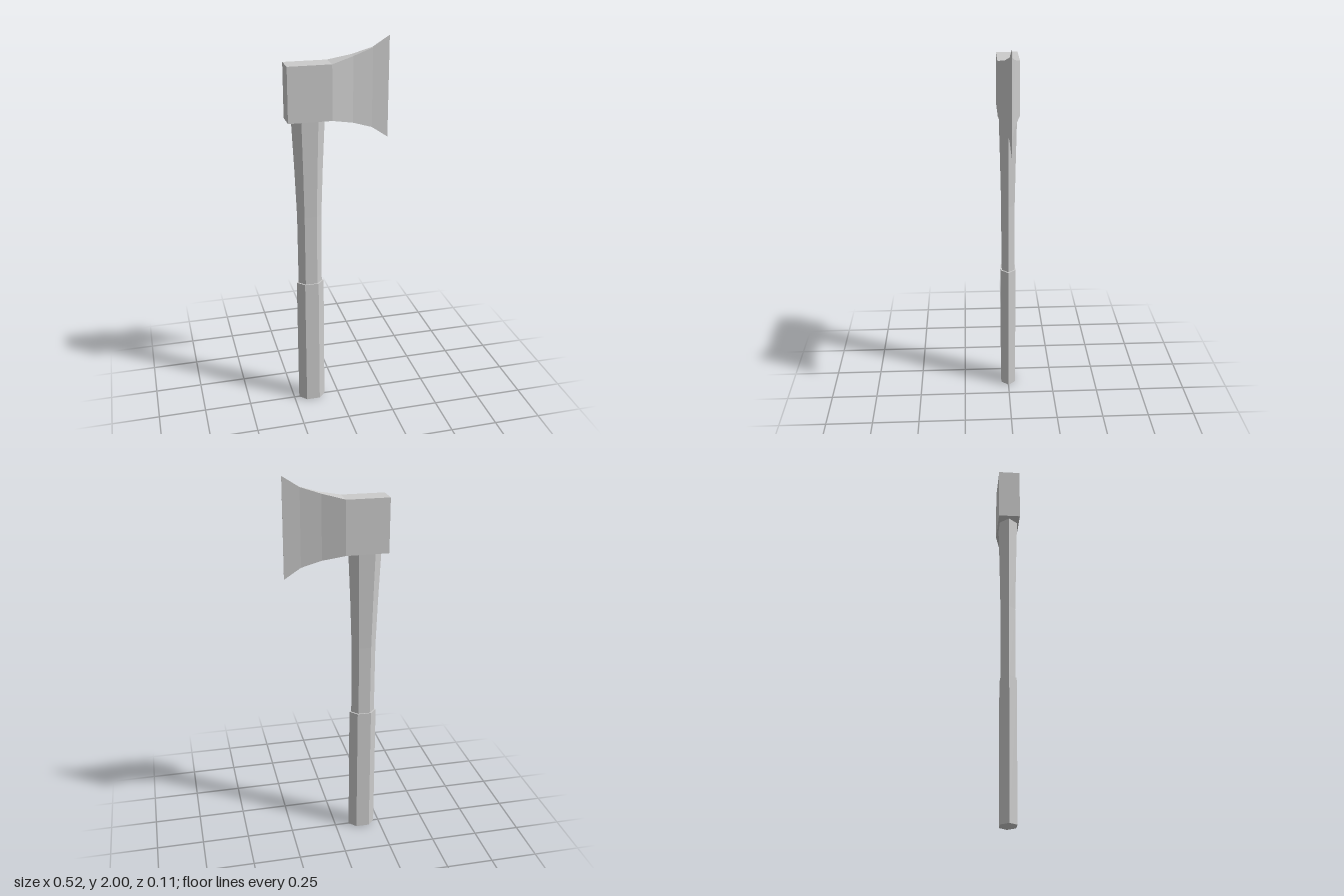
import * as THREE from 'three';

const grey = new THREE.MeshStandardMaterial({ color: 0xcccccc });
grey.name = 'plain grey';

// Skins a row of equal-sized rings, each counter-clockwise about the direction of travel, and caps both ends
function loft(rings) {
  const positions = [];
  const tri = (...points) => points.forEach((p) => positions.push(...p));
  const n = rings[0].length;
  for (let i = 0; i < rings.length - 1; i++) {
    for (let j = 0; j < n; j++) {
      const k = (j + 1) % n;
      const a = rings[i][j], b = rings[i][k], c = rings[i + 1][k], d = rings[i + 1][j];
      tri(a, b, c);
      tri(a, c, d);
    }
  }
  const first = rings[0], last = rings[rings.length - 1];
  for (let j = 1; j < n - 1; j++) {
    tri(first[0], first[j + 1], first[j]);
    tri(last[0], last[j], last[j + 1]);
  }
  const geometry = new THREE.BufferGeometry();
  geometry.setAttribute('position', new THREE.Float32BufferAttribute(positions, 3));
  geometry.computeVertexNormals();
  return geometry;
}

// Flattened hexagon across the handle, with its points to the left and right
const HANDLE_X = -0.15;
function hexagon([y, halfWidth, halfDepth]) {
  return Array.from({ length: 6 }, (_, i) => {
    const angle = (i * Math.PI) / 3;
    const z = (-Math.sin(angle) / Math.sin(Math.PI / 3)) * halfDepth;
    return [HANDLE_X + Math.cos(angle) * halfWidth, y, z];
  });
}

// Upright rectangle across the axe head
function rectangle([x, bottom, top, halfDepth]) {
  return [[x, bottom, -halfDepth], [x, top, -halfDepth], [x, top, halfDepth], [x, bottom, halfDepth]];
}

export function createModel() {
  const axe = new THREE.Group();
  axe.name = 'axe';

  const add = (name, rings) => {
    const mesh = new THREE.Mesh(loft(rings), grey);
    mesh.name = name;
    axe.add(mesh);
  };

  // Thicker straight grip
  add('grip', [[0, 0.073, 0.04], [0.72, 0.073, 0.04]].map(hexagon));

  // Shaft flaring towards the head: height, half width, half depth
  add('shaft', [
    [0.72, 0.063, 0.034],
    [1.1, 0.064, 0.035],
    [1.35, 0.073, 0.04],
    [1.61, 0.085, 0.046],
  ].map(hexagon));

  // Head from the blunt poll to the flared cutting edge: x, bottom, top, half depth
  add('head', [
    [-0.26, 1.608, 1.885, 0.055],
    [-0.04, 1.608, 1.885, 0.055],
    [0.073, 1.582, 1.912, 0.023],
    [0.175, 1.548, 1.945, 0.007],
    [0.26, 1.49, 2.0, 0.0005],
  ].map(rectangle));

  return axe;
}
